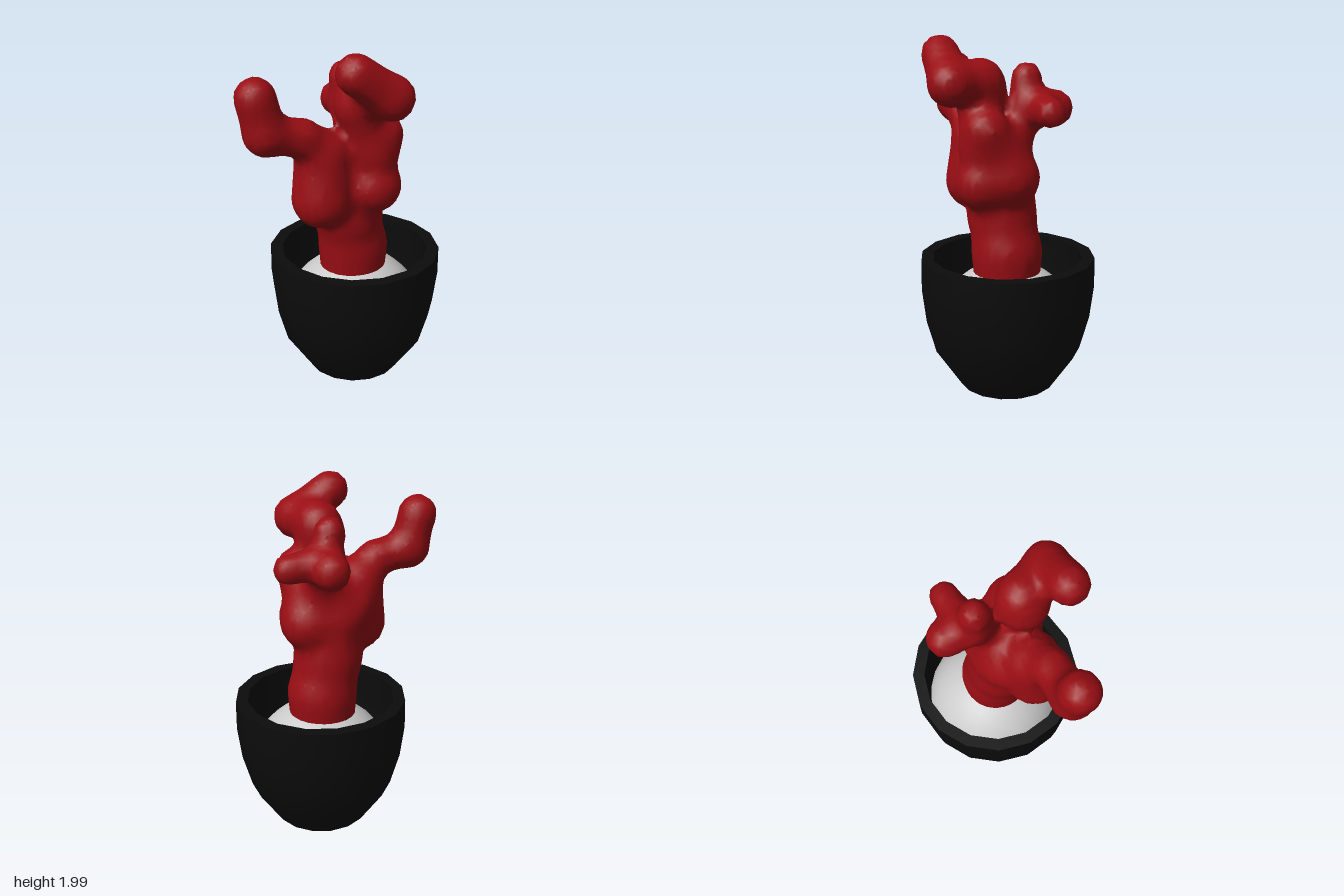
import * as THREE from 'three';
import { toCreasedNormals } from 'three/addons/utils/BufferGeometryUtils.js';

const V = (x, y, z) => new THREE.Vector3(x, y, z);

// Plant limbs: chains of [x, y, z, radius] joined by tapered rounded segments
const limbs = [
  // stem
  [[0.1, 0.62, 0, 0.19], [0.1, 0.8, 0, 0.188], [0.06, 1.02, 0.02, 0.185], [0.04, 1.25, 0.02, 0.18]],
  // body lumps
  [[-0.13, 1.17, 0.13, 0.165], [-0.12, 1.4, 0.11, 0.15]],
  [[0.16, 1.22, 0.15, 0.155], [0.17, 1.24, 0.0, 0.15], [0.16, 1.4, 0.06, 0.14]],
  [[-0.02, 1.3, 0.03, 0.17], [0.05, 1.38, 0.0, 0.13]],
  [[0.16, 1.4, 0.14, 0.14], [0.2, 1.5, 0.14, 0.125]],
  // long side arm
  [[-0.12, 1.42, 0.12, 0.12], [-0.24, 1.53, 0.15, 0.095], [-0.44, 1.58, 0.165, 0.108], [-0.485, 1.77, 0.165, 0.108]],
  // tall front arm with hooked tip
  [[0.12, 1.48, 0.15, 0.115], [0.07, 1.68, 0.145, 0.125], [0.085, 1.75, 0.14, 0.115], [0.18, 1.75, 0.325, 0.11], [-0.02, 1.89, 0.335, 0.105]],
  // rear arm with upright knob and two lobes
  [[0.12, 1.38, -0.02, 0.1], [0.11, 1.55, -0.09, 0.085], [0.08, 1.77, -0.115, 0.082]],
  [[0.1, 1.62, -0.13, 0.1], [0.1, 1.6, -0.27, 0.1]],
  [[0.14, 1.62, -0.16, 0.09], [0.31, 1.6, -0.18, 0.08]],
];

const segments = limbs.flatMap(chain => chain.slice(1).map((b, i) => {
  const a = chain[i], start = V(a[0], a[1], a[2]);
  return { start, dir: V(b[0], b[1], b[2]).sub(start), r0: a[3], r1: b[3] };
}));

const tmp = new THREE.Vector3();
function segmentDistance(p, s) {
  tmp.subVectors(p, s.start);
  const t = THREE.MathUtils.clamp(tmp.dot(s.dir) / s.dir.lengthSq(), 0, 1);
  return tmp.addScaledVector(s.dir, -t).length() - (s.r0 + (s.r1 - s.r0) * t);
}

// Smoothly blended distance to all limbs
function field(p) {
  const k = 0.045;
  let d = 10;
  for (const s of segments) {
    const e = segmentDistance(p, s), h = Math.max(k - Math.abs(d - e), 0) / k;
    d = Math.min(d, e) - h * h * k * 0.25;
  }
  return d;
}

// Skin the field: one vertex per crossed cell, one quad per crossed grid edge
function skin(min, max, cell) {
  const n = max.clone().sub(min).divideScalar(cell).ceil().addScalar(1);
  const step = [1, n.x, n.x * n.y];
  const values = new Float32Array(n.x * n.y * n.z);
  const p = new THREE.Vector3();
  const each = fn => {
    for (let z = 0; z < n.z - 1; z++)
      for (let y = 0; y < n.y - 1; y++)
        for (let x = 0; x < n.x - 1; x++) fn([x, y, z], x + y * step[1] + z * step[2]);
  };
  for (let i = 0; i < values.length; i++) {
    p.set(i % n.x, Math.floor(i / n.x) % n.y, Math.floor(i / step[2])).multiplyScalar(cell).add(min);
    values[i] = field(p);
  }
  const ids = new Int32Array(values.length).fill(-1);
  const positions = [], index = [];
  const corner = c => (c & 1) * step[0] + ((c >> 1) & 1) * step[1] + ((c >> 2) & 1) * step[2];
  each((c, i) => {
    const sum = [0, 0, 0];
    let count = 0;
    for (let a = 0; a < 8; a++)
      for (let axis = 0; axis < 3; axis++) {
        if (a & (1 << axis)) continue;
        const va = values[i + corner(a)], vb = values[i + corner(a | (1 << axis))];
        if ((va < 0) === (vb < 0)) continue;
        for (let k = 0; k < 3; k++) sum[k] += k === axis ? va / (va - vb) : (a >> k) & 1;
        count++;
      }
    if (!count) return;
    ids[i] = positions.length / 3;
    const o = min.toArray();
    for (let k = 0; k < 3; k++) positions.push(o[k] + (c[k] + sum[k] / count) * cell);
  });
  each((c, i) => {
    for (let axis = 0; axis < 3; axis++) {
      const u = (axis + 1) % 3, v = (axis + 2) % 3;
      const inside = values[i] < 0;
      if (!c[u] || !c[v] || inside === (values[i + step[axis]] < 0)) continue;
      const q = [i - step[u] - step[v], i - step[v], i, i - step[u]].map(j => ids[j]);
      if (!inside) q.reverse();
      index.push(q[0], q[1], q[2], q[0], q[2], q[3]);
    }
  });
  const g = new THREE.BufferGeometry();
  g.setAttribute('position', new THREE.Float32BufferAttribute(positions, 3));
  g.setIndex(index);
  g.computeVertexNormals();
  return g;
}

export function createModel() {
  const model = new THREE.Group();
  const add = (name, geometry, color, x = 0) => {
    const mesh = new THREE.Mesh(geometry, new THREE.MeshStandardMaterial({ color }));
    mesh.name = name;
    mesh.position.x = x;
    model.add(mesh);
  };

  // Pot: outer wall, flat rim and inner wall in one profile
  const potProfile = [
    [0, 0], [0.16, 0.008], [0.275, 0.03], [0.415, 0.24], [0.467, 0.43], [0.49, 0.62], [0.488, 0.785],
    [0.42, 0.785], [0.425, 0.62], [0.42, 0.43], [0.37, 0.25], [0.24, 0.08], [0, 0.07],
  ].map(([r, y]) => new THREE.Vector2(r, y));
  add('pot', toCreasedNormals(new THREE.LatheGeometry(potProfile, 16), 0.8), 0x0c0c0c, 0.11);

  // Domed soil inside the pot
  const soil = new THREE.SphereGeometry(0.425, 24, 10, 0, Math.PI * 2, 0, Math.PI / 2);
  soil.translate(0, 0.31, 0);
  add('soil', soil, 0xcccccc, 0.11);

  // Lumpy branching plant
  add('plant', skin(V(-0.72, 0.36, -0.48), V(0.5, 2.1, 0.54), 0.036), 0x990e14);
  return model;
}
